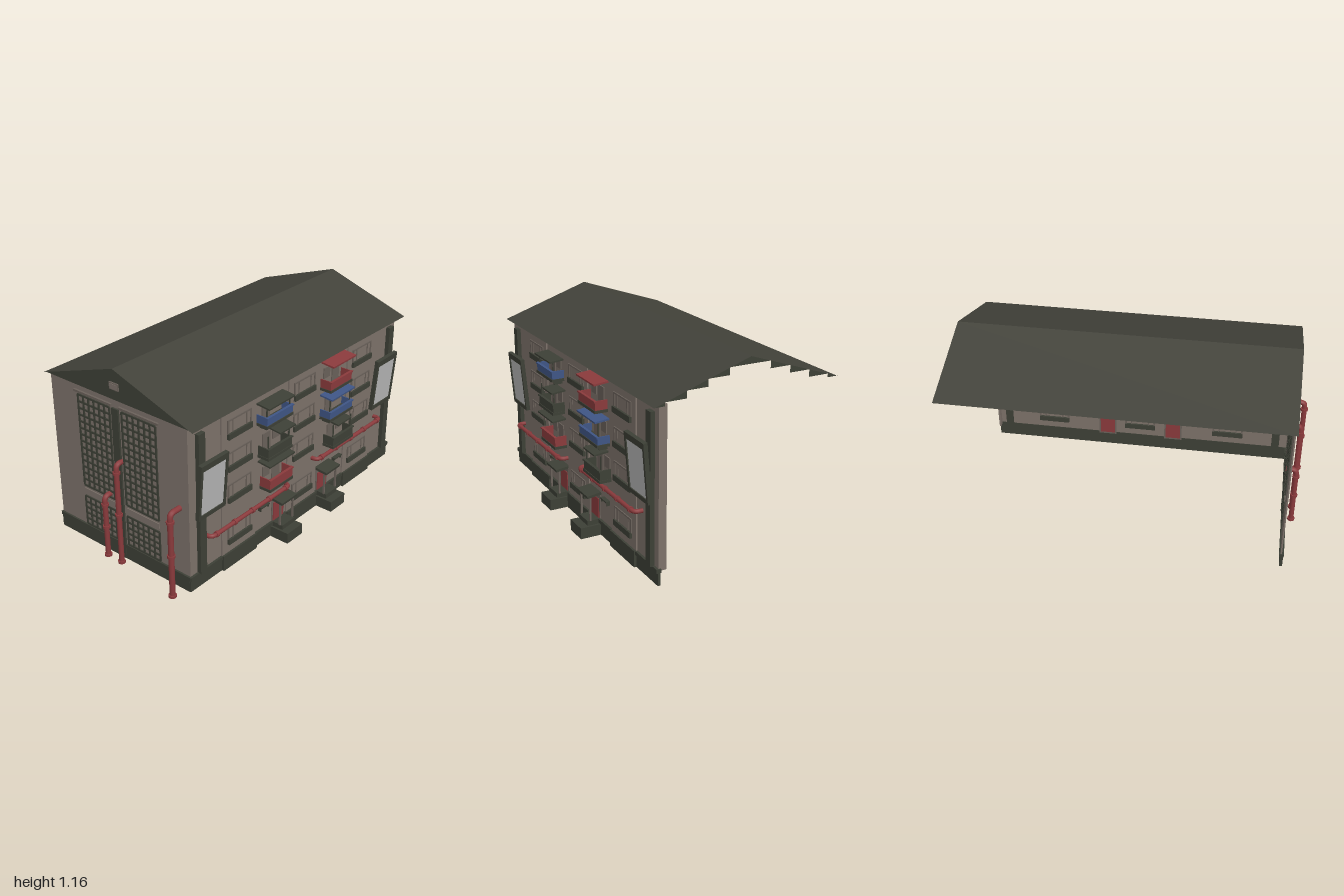
import * as THREE from 'three';

function mat(name, color) {
  const m = new THREE.MeshStandardMaterial({ color, side: THREE.DoubleSide });
  m.name = name;
  return m;
}

export function createModel() {
  const wall = mat('taupe plaster', 0x7d726a);
  const frame = mat('window taupe', 0x6a615a);
  const trim = mat('dark green grey', 0x3d4036);
  const roofMat = mat('roof olive', 0x42423a);
  const red = mat('oxide red', 0x8a3a3c);
  const blue = mat('balcony blue', 0x3f5585);
  const grey = mat('light grey', 0xb8b8b8);

  const model = new THREE.Group();
  model.name = 'apartmentBlock';
  const group = (name, parent = model) => {
    const g = new THREE.Group();
    g.name = name;
    parent.add(g);
    return g;
  };
  const add = (parent, name, geo, m) => {
    const mesh = new THREE.Mesh(geo, m);
    mesh.name = name;
    parent.add(mesh);
    return mesh;
  };
  // Box given by its minimum and maximum on each axis
  const box = (parent, name, m, x0, x1, y0, y1, z0, z1) => {
    const mesh = add(parent, name, new THREE.BoxGeometry(x1 - x0, y1 - y0, z1 - z0), m);
    mesh.position.set((x0 + x1) / 2, (y0 + y1) / 2, (z0 + z1) / 2);
    return mesh;
  };
  // Flat outline of [z, y] points standing at a given x
  const endPlate = (parent, name, m, x, pts) => {
    const shape = new THREE.Shape(pts.map(([z, y]) => new THREE.Vector2(-z, y)));
    const mesh = add(parent, name, new THREE.ShapeGeometry(shape), m);
    mesh.rotation.y = Math.PI / 2;
    mesh.position.x = x;
    return mesh;
  };

  // Front wall with projecting window bays
  const WX = -0.9, EX = 0.965, WZ = 0.45;
  const front = group('frontFacade');
  box(front, 'frontWall', wall, WX, EX, 0.1, 0.98, WZ - 0.01, WZ);
  box(front, 'frontPlinth', trim, WX - 0.01, EX + 0.005, 0.02, 0.095, WZ - 0.01, WZ + 0.006);
  box(front, 'plinthLedge', trim, WX - 0.013, EX + 0.008, 0.092, 0.113, WZ - 0.012, WZ + 0.014);
  box(front, 'cornerReturn', wall, EX - 0.01, EX, 0.1, 0.98, 0.405, WZ);
  for (const cx of [-0.52, 0.04, 0.6]) {
    box(front, 'windowBay', wall, cx - 0.14, cx + 0.14, 0.11, 0.957, WZ, WZ + 0.008);
    box(front, 'bayPlinth', trim, cx - 0.14, cx + 0.14, 0.02, 0.113, WZ, WZ + 0.02);
    for (const y of [0.805, 0.615, 0.425, 0.165]) {
      const w = group('window', front), z0 = WZ - 0.022, z1 = WZ + 0.014;
      box(w, 'pane', wall, cx - 0.09, cx + 0.09, y + 0.03, y + 0.105, z0 + 0.008, z1 - 0.004);
      for (const s of [-1, 1]) {
        box(w, 'jamb', frame, cx + s * 0.091 - 0.005, cx + s * 0.091 + 0.005, y + 0.03, y + 0.11, z0, z1);
        box(w, 'mullion', frame, cx + s * 0.055 - 0.003, cx + s * 0.055 + 0.003, y + 0.03, y + 0.105, z0, z1);
      }
      box(w, 'lintel', frame, cx - 0.096, cx + 0.096, y + 0.101, y + 0.11, z0, z1);
      box(w, 'sillBox', trim, cx - 0.096, cx + 0.096, y, y + 0.033, z0 - 0.004, z1 + 0.008);
    }
  }

  // Drain posts on the facade
  for (const x of [-0.825, 0.9])
    box(front, 'drainPost', trim, x - 0.024, x + 0.024, 0.11, 0.935, WZ - 0.014, 0.475);

  // Entrances with steps, canopy and side posts
  for (const cx of [-0.172, 0.25]) {
    const e = group('entrance');
    box(e, 'landing', trim, cx - 0.068, cx + 0.068, 0.02, 0.085, WZ, 0.578);
    box(e, 'topStep', trim, cx - 0.055, cx + 0.055, 0.085, 0.113, WZ, 0.53);
    box(e, 'door', red, cx - 0.046, cx + 0.046, 0.113, 0.228, WZ - 0.018, WZ + 0.008);
    box(e, 'doorFrame', frame, cx - 0.056, cx + 0.056, 0.1, 0.255, WZ - 0.014, WZ + 0.004);
    const c = box(e, 'canopy', trim, cx - 0.068, cx + 0.068, 0.257, 0.272, WZ, 0.535);
    c.rotation.x = 0.12;
    for (const s of [-1, 1])
      box(e, 'canopyPost', frame, cx + s * 0.057 - 0.004, cx + s * 0.057 + 0.004, 0.113, 0.256, 0.508, 0.519);
  }
  for (const x of [-0.31, 0.39]) {
    box(front, 'cellarHood', trim, x - 0.037, x + 0.037, 0.258, 0.266, WZ, 0.475);
    for (const s of [-1, 1])
      box(front, 'hoodBracket', trim, x + s * 0.034 - 0.003, x + s * 0.034 + 0.003, 0.24, 0.26, WZ, 0.47);
  }

  // Balconies: [left, right, base, top, canopy height, body, canopy colour, canopy left, canopy right]
  const balconies = [
    [-0.37, -0.15, 0.785, 0.848, 0.905, blue, trim, -0.37, -0.15],
    [-0.355, -0.15, 0.585, 0.655, 0.725, trim, trim, -0.27, -0.135],
    [-0.335, -0.137, 0.38, 0.455, 0.553, red, trim, -0.355, -0.135],
    [0.205, 0.41, 0.772, 0.84, 0.937, red, red, 0.205, 0.425],
    [0.21, 0.432, 0.587, 0.648, 0.733, blue, blue, 0.205, 0.43],
    [0.255, 0.455, 0.393, 0.465, 0.545, trim, trim, 0.28, 0.415],
  ];
  for (const [x0, x1, y0, y1, cy, body, top, c0, c1] of balconies) {
    const b = group('balcony'), zf = 0.522;
    box(b, 'slab', trim, x0 - 0.003, x1 + 0.003, y0, y0 + 0.016, WZ - 0.012, zf + 0.004);
    box(b, 'frontPanel', body, x0, x1, y0 + 0.016, y1, zf - 0.006, zf);
    box(b, 'handRail', body, x0 - 0.004, x1 + 0.004, y1 - 0.008, y1, zf - 0.01, zf + 0.006);
    for (const x of [x0, x1 - 0.006]) box(b, 'sidePanel', body, x, x + 0.006, y0 + 0.016, y1, WZ, zf);
    if (body === blue)
      for (let i = 0; i < 4; i++) {
        const x = x0 + 0.03 + i * (x1 - x0 - 0.06) / 3;
        box(b, 'bracket', trim, x - 0.004, x + 0.004, y0 - 0.025, y0, WZ, 0.5);
      }
    const c = box(b, 'canopy', top, c0, c1, cy - 0.005, cy + 0.005, WZ, 0.535);
    c.rotation.x = 0.1;
    // Balcony door and side window showing on both faces of the wall
    const cx = (x0 + x1) / 2, s = body === red ? -1 : 1;
    box(b, 'balconyDoor', frame, cx - s * 0.035 - 0.033, cx - s * 0.035 + 0.033, y0 + 0.016, y0 + 0.125, WZ - 0.016, WZ + 0.006);
    box(b, 'balconyWindow', frame, cx + s * 0.05 - 0.03, cx + s * 0.05 + 0.03, y0 + 0.06, y0 + 0.125, WZ - 0.016, WZ + 0.006);
    if (body !== red)
      for (const x of [x0 + 0.012, x1 - 0.012])
        box(b, 'canopyPost', trim, x - 0.003, x + 0.003, y1, cy, 0.507, 0.513);
  }

  // Tilted notice boards
  for (const [x, y] of [[-0.767, 0.615], [0.817, 0.615]]) {
    const n = group('noticeBoard');
    n.position.set(x, y, 0.485);
    n.rotation.x = 0.08;
    box(n, 'boardBack', trim, -0.1, 0.1, -0.16, 0.16, -0.008, 0.004);
    box(n, 'boardFace', grey, -0.088, 0.088, -0.14, 0.13, 0.004, 0.008);
    for (const s of [-1, 1])
      box(n, 'sideRim', trim, s * 0.096 - 0.008, s * 0.096 + 0.008, -0.165, 0.165, -0.01, 0.014);
    box(n, 'topRim', trim, -0.104, 0.104, 0.13, 0.165, -0.01, 0.014);
    box(n, 'bottomRim', trim, -0.104, 0.104, -0.165, -0.14, -0.01, 0.014);
  }

  // Round pipes with collars
  const pipe = (name, pts, r, collars, axis) => {
    const g = group(name), v = pts.map(p => new THREE.Vector3(...p)), path = new THREE.CurvePath();
    const bend = 0.03;
    let from = v[0];
    for (let i = 1; i < v.length; i++) {
      if (i === v.length - 1) { path.add(new THREE.LineCurve3(from, v[i])); break; }
      const a = v[i].clone().add(v[i - 1].clone().sub(v[i]).setLength(bend));
      const b = v[i].clone().add(v[i + 1].clone().sub(v[i]).setLength(bend));
      path.add(new THREE.LineCurve3(from, a));
      path.add(new THREE.QuadraticBezierCurve3(a, v[i], b));
      from = b;
    }
    add(g, 'tube', new THREE.TubeGeometry(path, 90, r, 10), red);
    for (const p of collars) {
      const c = add(g, 'collar', new THREE.CylinderGeometry(r * 1.4, r * 1.4, 0.014, 12), red);
      c.position.set(...p);
      if (axis === 'x') c.rotation.z = Math.PI / 2;
    }
  };
  for (const [x0, x1, y] of [[-0.79, -0.125, 0.32], [0.135, 0.797, 0.365]])
    pipe('facadePipe', [[x0, y, 0.435], [x0, y, 0.498], [x1, y, 0.498], [x1, y, 0.435]], 0.012,
      [0.06, 0.28, 0.5, 0.72, 0.94].map(t => [x0 + (x1 - x0) * t, y, 0.498]), 'x');
  for (const [x, z, y0, y1, r] of [[-0.978, 0.388, 0, 0.512, 0.016], [-0.95, -0.015, 0.015, 0.632, 0.015], [-0.95, -0.12, 0.015, 0.395, 0.015]]) {
    pipe('endPipe', [[x, y0, z], [x, y1, z], [WX + 0.012, y1, z]], r,
      [[x, y0 + 0.007, z], [x, (y0 + y1) / 2, z], [x, y1 - 0.05, z]], 'y');
  }

  // End wall on the -x side
  const end = group('endWall');
  box(end, 'endWallPanel', wall, WX - 0.004, WX + 0.004, 0.1, 0.98, -0.53, WZ);
  box(end, 'endPlinth', trim, WX - 0.012, WX + 0.006, 0.02, 0.095, -0.53, WZ);
  box(end, 'endLedge', trim, WX - 0.015, WX + 0.012, 0.092, 0.113, -0.535, WZ + 0.01);
  box(end, 'centrePost', trim, WX - 0.015, WX + 0.012, 0.02, 0.935, -0.064, -0.016);

  // Grids of dark bars standing through the end wall
  const grid = (z0, z1, y0, y1, rows) => {
    const g = group('latticeWindow', end), a = WX - 0.01, b = WX + 0.01, cols = 6, t = 0.0055;
    for (let i = 0; i <= cols; i++) {
      const z = z0 + (z1 - z0) * i / cols;
      box(g, 'uprightBar', trim, a, b, y0, y1, z - t, z + t);
    }
    for (let j = 0; j <= rows; j++) {
      const y = y0 + (y1 - y0) * j / rows;
      box(g, 'crossBar', trim, a, b, y - t, y + t, z0, z1);
    }
  };
  for (const [z0, z1, r0, r1] of [[0.003, 0.24, -0.014, 0.265], [-0.322, -0.085, -0.345, -0.066]]) {
    grid(z0, z1, 0.372, 0.927, 14);
    grid(z0, z1, 0.118, 0.3, 5);
    box(end, 'spandrelPanel', wall, WX - 0.009, WX + 0.009, 0.322, 0.352, z0, z1);
    box(end, 'headRail', frame, WX - 0.016, WX + 0.014, 0.942, 0.954, r0, r1);
  }

  // Pitched roof, solid gable on -x and stepped verge on +x
  const roof = group('roof');
  const RZ = -0.04, RY = 1.16, EY = 0.98, F = 0.496, B = -0.576, X0 = -0.915, X1 = 1;
  for (const [name, ze] of [['frontSlope', F], ['backSlope', B]]) {
    const geo = new THREE.BufferGeometry();
    geo.setAttribute('position', new THREE.Float32BufferAttribute(
      [X0, EY, ze, X1, EY, ze, X1, RY, RZ, X0, RY, RZ], 3));
    geo.setIndex(ze > RZ ? [0, 1, 2, 0, 2, 3] : [0, 2, 1, 0, 3, 2]);
    geo.computeVertexNormals();
    add(roof, name, geo, roofMat);
  }
  endPlate(roof, 'gable', trim, WX - 0.004, [[F, EY], [RZ, RY], [B, EY]]);
  box(roof, 'gableVent', frame, WX - 0.012, WX + 0.008, 1.04, 1.08, RZ - 0.032, RZ + 0.032);
  box(roof, 'ventPane', wall, WX - 0.015, WX + 0.011, 1.046, 1.074, RZ - 0.025, RZ + 0.025);
  const slopeY = d => RY - (RY - EY) * d / (F - RZ);
  const n = 4.5, step = (F - RZ) / n;
  for (const s of [-1, 1])
    for (let i = 0; i < n; i++) {
      const d0 = i * step, d1 = Math.min(F - RZ, d0 + step);
      endPlate(roof, 'vergeTooth', trim, X1 - 0.004,
        [[RZ + s * d0, slopeY(d0)], [RZ + s * d0, slopeY(d1)], [RZ + s * d1, slopeY(d1)]]);
    }
  return model;
}
